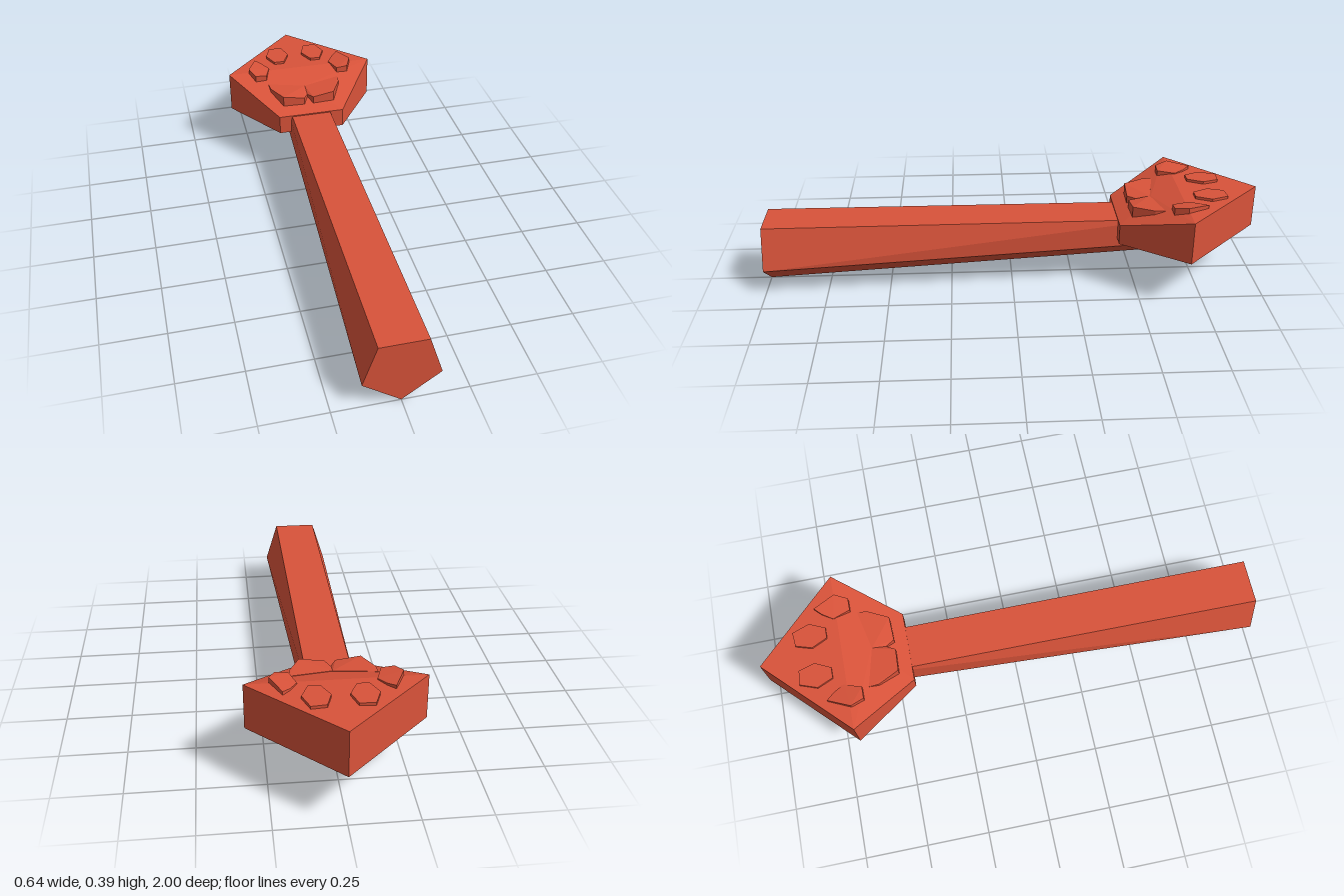
import * as THREE from 'three';
import { ConvexGeometry } from 'three/addons/geometries/ConvexGeometry.js';

const material = new THREE.MeshStandardMaterial({ color: 0xd9533a, flatShading: true });

// Faceted solid wrapped around a few corner points
function solid(name, points) {
  const geometry = new ConvexGeometry(points.map((p) => new THREE.Vector3(...p)));
  const mesh = new THREE.Mesh(geometry, material);
  mesh.name = name;
  return mesh;
}

// Five-sided handle section at depth z
const section = (z, top, topX, side, sideX, low) => [
  [-topX, top, z], [topX, top, z], [sideX, side, z], [0, low, z], [-sideX, side, z],
];

// Prism from an outline of [x, z, top height], sunk into the head; s mirrors it
const pad = (name, outline, base, s) => solid(name, outline.flatMap(
  ([x, z, y]) => [[s * x, y, z], [s * x, base, z]]));

export function createModel() {
  const group = new THREE.Group();
  group.name = 'pawMallet';

  // Tapering handle
  group.add(solid('handle', [
    ...section(1, 0.272, 0.09, 0.106, 0.142, 0),
    ...section(-0.61, 0.272, 0.085, 0.166, 0.088, 0.094),
  ]));

  // Pentagonal head: sloped front of the top, pointed underside
  const plan = [[0, -1, 0.37], [0.322, -0.68, 0.37], [0.142, -0.425, 0.277],
    [-0.142, -0.425, 0.277], [-0.322, -0.68, 0.37]];
  group.add(solid('head', [
    ...plan.flatMap(([x, z, y]) => [[x, y, z], [x, 0.195, z]]),
    [0, 0.338, -0.57],
    [0, 0.05, -0.695],
  ]));

  // Raised paw pads, mirrored left and right
  const palm = [[0.158, -0.6, 0.346], [0.155, -0.56, 0.345], [0.113, -0.478, 0.344],
    [0.02, -0.475, 0.33], [0, -0.51, 0.326], [0, -0.565, 0.338]];
  const outerToe = [[0.233, -0.675, 0.391], [0.21, -0.624, 0.381], [0.162, -0.624, 0.376],
    [0.138, -0.693, 0.374], [0.165, -0.735, 0.378], [0.192, -0.762, 0.384]];
  const innerToe = [[0.133, -0.79, 0.381], [0.105, -0.728, 0.381], [0.062, -0.728, 0.381],
    [0.032, -0.79, 0.381], [0.052, -0.853, 0.381], [0.108, -0.858, 0.381]];
  for (const s of [1, -1]) {
    const side = s > 0 ? 'left' : 'right';
    group.add(pad(side + 'PalmPad', palm, 0.27, s));
    group.add(pad(side + 'OuterToe', outerToe, 0.32, s));
    group.add(pad(side + 'InnerToe', innerToe, 0.34, s));
  }
  return group;
}
